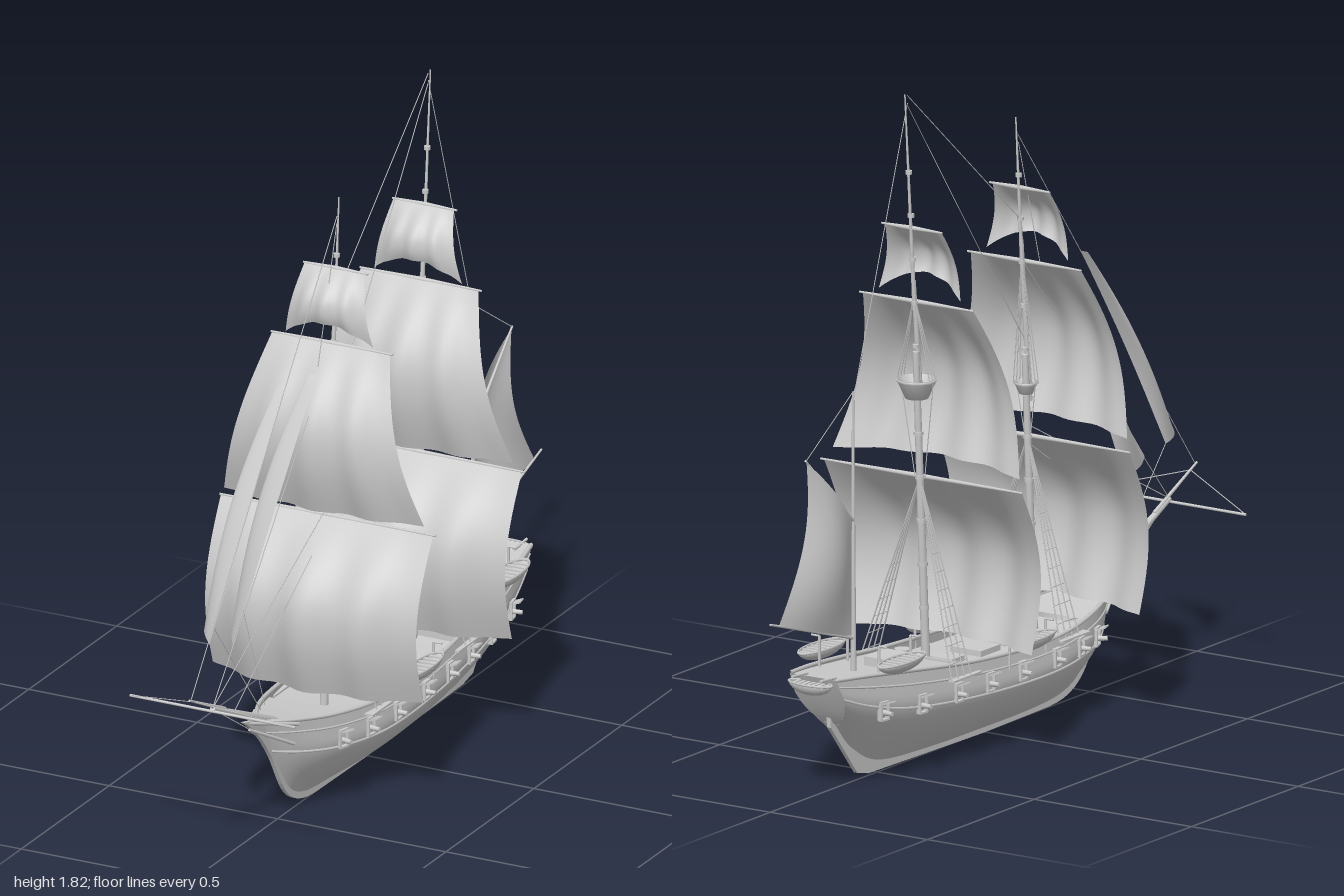
import * as THREE from 'three';

const V = (x, y, z) => new THREE.Vector3(x, y, z);
const mat = new THREE.MeshStandardMaterial({ color: 0xcccccc });
const thin = new THREE.MeshStandardMaterial({ color: 0xcccccc, side: THREE.DoubleSide });

function add(parent, name, geo, m = mat) {
  const mesh = new THREE.Mesh(geo, m);
  mesh.name = name;
  parent.add(mesh);
  return mesh;
}

// Tapered round bar between two points
function bar(parent, name, a, b, r1, r2 = r1, sides = 8) {
  const mesh = add(parent, name, new THREE.CylinderGeometry(r2, r1, a.distanceTo(b), sides));
  mesh.position.copy(a).lerp(b, 0.5);
  mesh.quaternion.setFromUnitVectors(V(0, 1, 0), b.clone().sub(a).normalize());
  return mesh;
}
const rope = (parent, a, b, r = 0.0013) => bar(parent, 'rope', a, b, r, r, 4);

function box(parent, name, w, h, d, x, y, z) {
  const mesh = add(parent, name, new THREE.BoxGeometry(w, h, d));
  mesh.position.set(x, y, z);
  return mesh;
}

// Surface from a function of (u, v), both 0..1
function surface(parent, name, nu, nv, fn) {
  const pos = [], idx = [];
  for (let j = 0; j <= nv; j++)
    for (let i = 0; i <= nu; i++) pos.push(...fn(i / nu, j / nv).toArray());
  for (let j = 0; j < nv; j++)
    for (let i = 0; i < nu; i++) {
      const a = j * (nu + 1) + i, b = a + nu + 1;
      idx.push(a, b, a + 1, a + 1, b, b + 1);
    }
  const geo = new THREE.BufferGeometry();
  geo.setAttribute('position', new THREE.Float32BufferAttribute(pos, 3));
  geo.setIndex(idx);
  geo.computeVertexNormals();
  return add(parent, name, geo, thin);
}

// Hull stations, stern to bow: zTop, zBottom, yBottom, ySheer, halfWidth, sharpness
const stations = [
  [-0.80, -0.70, 0.17, 0.325, 0.078, 0.6],
  [-0.68, -0.62, 0.085, 0.315, 0.1, 1.1],
  [-0.50, -0.50, 0.028, 0.295, 0.125, 1.05],
  [-0.26, -0.26, 0.014, 0.268, 0.146, 0.9],
  [0.0, 0.0, 0.012, 0.253, 0.156, 0.85],
  [0.2, 0.18, 0.012, 0.257, 0.15, 0.9],
  [0.38, 0.32, 0.016, 0.275, 0.115, 1.1],
  [0.51, 0.39, 0.025, 0.295, 0.06, 1.3],
  [0.595, 0.42, 0.04, 0.31, 0.003, 1.3],
];
const columns = stations[0].map((_, c) => new THREE.SplineCurve(stations.map((s, i) => new THREE.Vector2(i, s[c]))));
function hullPoint(s, t, side = 1) {
  const [zt, zb, yb, yt, w, p] = columns.map(c => c.getPoint(s).y);
  const f = Math.pow(Math.sin(Math.min(t / 0.72, 1) * Math.PI / 2), p) - 0.18 * Math.max(0, t - 0.72);
  return V(side * w * f, yb + (yt - yb) * t, zb + (zt - zb) * Math.pow(t, 0.75));
}
function hullAt(z, t, side = 1) {
  let lo = 0, hi = 1;
  for (let i = 0; i < 24; i++) {
    const mid = (lo + hi) / 2;
    if (hullPoint(mid, t).z < z) lo = mid; else hi = mid;
  }
  return hullPoint(lo, t, side);
}

function buildHull(g) {
  for (const side of [1, -1]) {
    const name = side > 0 ? 'left' : 'right';
    surface(g, name + 'HullSide', 64, 20, (u, v) => hullPoint(u, v, side));
    // rail and wales
    for (const [part, t, r] of [['Rail', 1, 0.006], ['UpperWale', 0.86, 0.003], ['LowerWale', 0.62, 0.004]]) {
      const pts = [];
      for (let i = 0; i <= 30; i++) pts.push(hullPoint(i / 30, t, side));
      add(g, name + part, new THREE.TubeGeometry(new THREE.CatmullRomCurve3(pts), 60, r, 6));
    }
    // beakhead rails
    bar(g, 'beakRail', hullAt(0.5, 0.95, side), V(0, 0.335, 0.68), 0.006, 0.004);
    bar(g, 'beakRail', hullAt(0.5, 0.72, side), V(0, 0.31, 0.66), 0.005, 0.004);
    // gun ports with frame, raised lid and gun
    for (const z of [0.355, 0.245, 0.115, -0.045, -0.19, -0.325, -0.475, -0.625]) {
      const p = hullAt(z, 0.72, side), q = hullAt(z + 0.02, 0.72, side);
      const port = new THREE.Group();
      port.name = 'gunPort';
      port.position.set(p.x, z < -0.55 ? 0.21 : 0.2, z);
      port.rotation.y = Math.atan2((p.x - q.x) * side, q.z - p.z) * -side + (side < 0 ? Math.PI : 0);
      g.add(port);
      for (const s of [-1, 1]) {
        box(port, 'portJamb', 0.014, 0.05, 0.005, 0, 0, s * 0.014);
        box(port, 'portSill', 0.014, 0.005, 0.03, 0, s * 0.024, 0);
      }
      box(port, 'portLid', 0.026, 0.004, 0.03, 0.016, 0.024, 0).rotation.z = 0.35;
      bar(port, 'gun', V(-0.02, -0.006, 0), V(0.03, -0.004, 0), 0.009, 0.006);
    }
    // channels holding the shrouds
    for (const z of [0.2, -0.3]) box(g, 'channel', 0.03, 0.005, 0.13, hullAt(z, 0.85, side).x, 0.238, z);
  }
  surface(g, 'transom', 8, 12, (u, v) => hullPoint(0, v).multiply(V(u * 2 - 1, 1, 1)));
  // decks follow the sheer
  const deck = (name, z0, z1, t) => surface(g, name, 8, 24, (u, v) => {
    const p = hullAt(z0 + (z1 - z0) * v, t);
    p.x *= (u * 2 - 1) * 0.98;
    return p;
  });
  deck('quarterDeck', -0.79, -0.29, 0.97);
  deck('mainDeck', -0.3, 0.32, 0.88);
  deck('foreDeck', 0.31, 0.57, 0.95);
  box(g, 'deckBulkhead', 0.26, 0.035, 0.006, 0, 0.253, -0.29);
  // keel, stem and beak in one thin plate
  const s = new THREE.Shape();
  s.moveTo(-0.56, 0.05);
  s.lineTo(-0.55, 0.008);
  s.lineTo(0, 0);
  s.lineTo(0.3, 0.004);
  s.bezierCurveTo(0.46, 0.01, 0.48, 0.09, 0.53, 0.17);
  s.quadraticCurveTo(0.6, 0.28, 0.7, 0.345);
  s.lineTo(0.58, 0.315);
  s.lineTo(0.4, 0.05);
  s.lineTo(0.25, 0.03);
  const plate = new THREE.ExtrudeGeometry(s, { depth: 0.012, bevelEnabled: false, curveSegments: 12 });
  add(g, 'keelAndStem', plate.translate(0, 0, -0.006).rotateY(-Math.PI / 2));
  const r = new THREE.Shape([[-0.54, 0.008], [-0.6, 0.02], [-0.725, 0.17], [-0.73, 0.22], [-0.69, 0.18], [-0.55, 0.06]]
    .map(p => new THREE.Vector2(...p)));
  const rudder = new THREE.ExtrudeGeometry(r, { depth: 0.012, bevelEnabled: false });
  add(g, 'rudder', rudder.translate(0, 0, -0.006).rotateY(-Math.PI / 2));
  // deck fittings
  for (const [z, w, d] of [[0.08, 0.08, 0.08], [-0.04, 0.1, 0.09], [-0.17, 0.07, 0.06]])
    box(g, 'hatch', w, 0.016, d, 0, 0.237, z);
  box(g, 'skylight', 0.07, 0.025, 0.1, 0, 0.3, -0.46);
  bar(g, 'capstan', V(0, 0.275, -0.38), V(0, 0.31, -0.38), 0.018, 0.022, 12);
}

// Small open boat lying along z
function boat(g, x, y, z, halfLength, halfWidth, turn = 0) {
  const b = new THREE.Group();
  b.name = 'boat';
  b.position.set(x, y, z);
  b.rotation.y = turn;
  g.add(b);
  const bowl = new THREE.SphereGeometry(1, 20, 8, 0, Math.PI * 2, Math.PI / 2, Math.PI / 2);
  add(b, 'boatHull', bowl.scale(halfWidth, 0.032, halfLength), thin);
  add(b, 'boatRim', new THREE.TorusGeometry(1, 0.06, 6, 28).rotateX(Math.PI / 2).scale(halfWidth, 0.06, halfLength));
  for (let i = -3; i <= 3; i++) {
    const k = i / 4.2;
    box(b, 'thwart', 2 * halfWidth * Math.sqrt(1 - k * k), 0.004, 0.01, 0, -0.003, k * halfLength);
  }
}

// Billowing square sail with its yard
function squareSail(g, name, o) {
  surface(g, name, 28, 18, (u, v) => {
    const x = u * 2 - 1, full = Math.sin(Math.min(v / 0.5, 1) * Math.PI / 2);
    const belly = (1 - x * x) * 0.85 + 0.15 * Math.cos(x * Math.PI * 3.5) * (1 - x ** 4);
    return V(x * THREE.MathUtils.lerp(o.w[0], o.w[1], v),
      THREE.MathUtils.lerp(o.y[0], o.y[1], v) + o.arch * (1 - x * x) * v * v,
      THREE.MathUtils.lerp(o.z[0], o.z[1], v) + o.edge * Math.sin(Math.PI * v) + o.belly * belly * full);
  });
  for (const s of [-1, 1]) bar(g, name + 'Yard', V(0, o.y[0], o.z[0] - 0.006), V(s * (o.w[0] + 0.006), o.y[0], o.z[0] - 0.006), 0.007, 0.003);
}

// Fore-and-aft sail: a-b is the head, d-c the foot
function staySail(g, name, a, b, c, d, billow, hollow) {
  surface(g, name, 14, 20, (u, v) => {
    const p = a.clone().lerp(b, u).lerp(d.clone().lerp(c, u), v);
    p.x += billow * Math.sin(Math.PI * u) * Math.sin(Math.PI * Math.min(1, 0.15 + v * 0.75));
    p.z += hollow * u * u * Math.sin(Math.PI * v);
    return p;
  });
}

// Square-rigged mast; dz is its offset from the foremast
function squareMast(g, name, dz, tip, topY, topR) {
  const m = new THREE.Group();
  m.name = name;
  g.add(m);
  const at = y => V(0, y, 0.235 + dz - 0.055 * (y - 0.24) - (y > 1.4 ? 0.03 * (y - 1.4) : 0));
  bar(m, 'lowerMast', at(0.2), at(topY + 0.08), 0.012, 0.009);
  bar(m, 'topMast', at(topY - 0.05).add(V(0, 0, 0.014)), at(1.3), 0.008, 0.006);
  bar(m, 'topgallantMast', at(1.22), at(tip), 0.006, 0.002);
  for (let y = 0.4; y < tip - 0.1; y += 0.12) {
    const band = add(m, 'mastBand', new THREE.CylinderGeometry(1, 1, 0.01, 8));
    const r = y < topY ? 0.0135 : 0.009;
    band.scale.set(r, 1, r);
    band.position.copy(at(y));
  }
  // lookout top
  const h = topR * 0.9;
  const profile = [[0.01, -h], [topR * 0.6, -h], [topR, 0], [topR * 1.05, 0], [topR * 1.05, 0.006], [topR * 0.94, 0.006], [topR * 0.55, 0.006 - h]];
  const top = add(m, 'lookoutTop', new THREE.LatheGeometry(profile.map(p => new THREE.Vector2(...p)), 16), thin);
  top.position.copy(at(topY));
  squareSail(m, 'courseSail', { y: [0.76, 0.305], w: [0.315, 0.312], z: [0.22 + dz, 0.27 + dz], edge: 0.065, belly: 0.08, arch: 0 });
  squareSail(m, 'topSail', { y: [1.24, 0.79], w: [0.175, 0.297], z: [0.197 + dz, 0.235 + dz], edge: 0.06, belly: 0.065, arch: 0.012 });
  squareSail(m, 'topgallantSail', { y: [1.445, 1.255], w: [0.09, 0.13], z: [0.175 + dz, 0.205 + dz], edge: 0.022, belly: 0.035, arch: 0.055 });
  // shrouds with ratlines
  for (const s of [-1, 1]) {
    const foot = i => V(s * 0.15, 0.24, 0.225 + dz - i * 0.03), head = at(0.76);
    for (let i = 0; i < 4; i++) {
      rope(m, foot(i), head, 0.0022);
      if (i < 3) rope(m, at(topY).add(V(s * topR, 0, (i - 1) * 0.015)), at(1.26), 0.0016);
    }
    for (let k = 0.08; k < 0.9; k += 0.09) rope(m, foot(0).lerp(head, k), foot(3).lerp(head, k));
    rope(m, at(0.76).add(V(s * topR * 0.3, 0, 0)), at(topY).add(V(s * topR, 0, 0)), 0.0016);
  }
}

export function createModel() {
  const g = new THREE.Group();
  g.name = 'sailingShip';
  const hull = new THREE.Group();
  hull.name = 'hull';
  g.add(hull);
  buildHull(hull);

  squareMast(g, 'foreMast', 0, 1.64, 0.905, 0.03);
  squareMast(g, 'mainMast', -0.505, 1.815, 1.025, 0.052);

  // mizzen mast with gaff, boom and sail
  bar(g, 'mizzenMast', V(0, 0.28, -0.61), V(0, 1.06, -0.612), 0.008, 0.003);
  bar(g, 'gaff', V(0, 0.71, -0.612), V(0, 0.92, -0.835), 0.005, 0.003);
  bar(g, 'boom', V(0, 0.39, -0.612), V(0, 0.51, -1), 0.005, 0.003);
  staySail(g, 'mizzenSail', V(0, 0.71, -0.618), V(0, 0.915, -0.83), V(0, 0.497, -0.96), V(0, 0.395, -0.62), -0.045, 0.055);

  // bowsprit, its cross yard and the jibs
  bar(g, 'bowsprit', V(0, 0.285, 0.52), V(0, 0.445, 0.87), 0.013, 0.008);
  bar(g, 'jibBoom', V(0, 0.42, 0.8), V(0, 0.515, 1), 0.006, 0.003);
  bar(g, 'bowspritYard', V(-0.245, 0.437, 0.868), V(0.245, 0.437, 0.868), 0.004);
  staySail(g, 'outerJib', V(0, 1.21, 0.455), V(0, 1.21, 0.455), V(-0.08, 0.635, 0.735), V(0, 0.635, 0.887), -0.05, 0.01);
  staySail(g, 'innerJib', V(0, 1.18, 0.275), V(0, 1.18, 0.275), V(-0.09, 0.59, 0.525), V(0, 0.585, 0.755), -0.05, 0.03);

  // boats on their davits, and one across the stern
  for (const s of [-1, 1]) {
    boat(g, s * 0.167, 0.285, -0.012, 0.098, 0.028);
    boat(g, s * 0.127, 0.34, -0.572, 0.098, 0.034);
    for (const [x, y, z] of [[0.15, 0.315, 0.07], [0.15, 0.315, -0.1], [0.1, 0.385, -0.49], [0.095, 0.385, -0.63]]) {
      bar(g, 'davit', V(s * x, y - 0.1, z), V(s * x, y, z), 0.004);
      bar(g, 'davitArm', V(s * x, y, z), V(s * (x + 0.025), y, z), 0.003);
    }
    bar(g, 'sternDavit', V(s * 0.045, 0.32, -0.76), V(s * 0.045, 0.325, -0.83), 0.004);
  }
  boat(g, 0, 0.31, -0.812, 0.066, 0.028, Math.PI / 2);

  // stays
  const stays = [
    [0, 1.81, -0.357, 0, 1.36, 0.17], [0, 1.78, -0.355, 0, 1.03, 0.19], [0, 1.79, -0.357, 0, 1.04, -0.61],
    [0, 1.59, 0.162, 0, 0.515, 0.99], [0, 1.24, 0.185, 0, 0.445, 0.87], [0, 1.57, 0.163, 0, 1.2, 0.27],
    [0, 0.79, 0.21, 0, 0.445, 0.87], [0, 0.74, 0.21, 0, 0.39, 0.75], [0, 1.06, -0.612, 0, 0.92, -0.83],
    [-0.08, 0.635, 0.735, -0.05, 0.3, 0.5], [-0.09, 0.59, 0.525, -0.08, 0.28, 0.42],
    [0.245, 0.437, 0.868, 0, 0.5, 0.97], [-0.245, 0.437, 0.868, 0, 0.5, 0.97], [0, 0.445, 0.87, 0, 0.26, 0.58],
  ];
  for (const [a, b, c, d, e, f] of stays) rope(g, V(a, b, c), V(d, e, f), 0.0014);
  return g;
}
